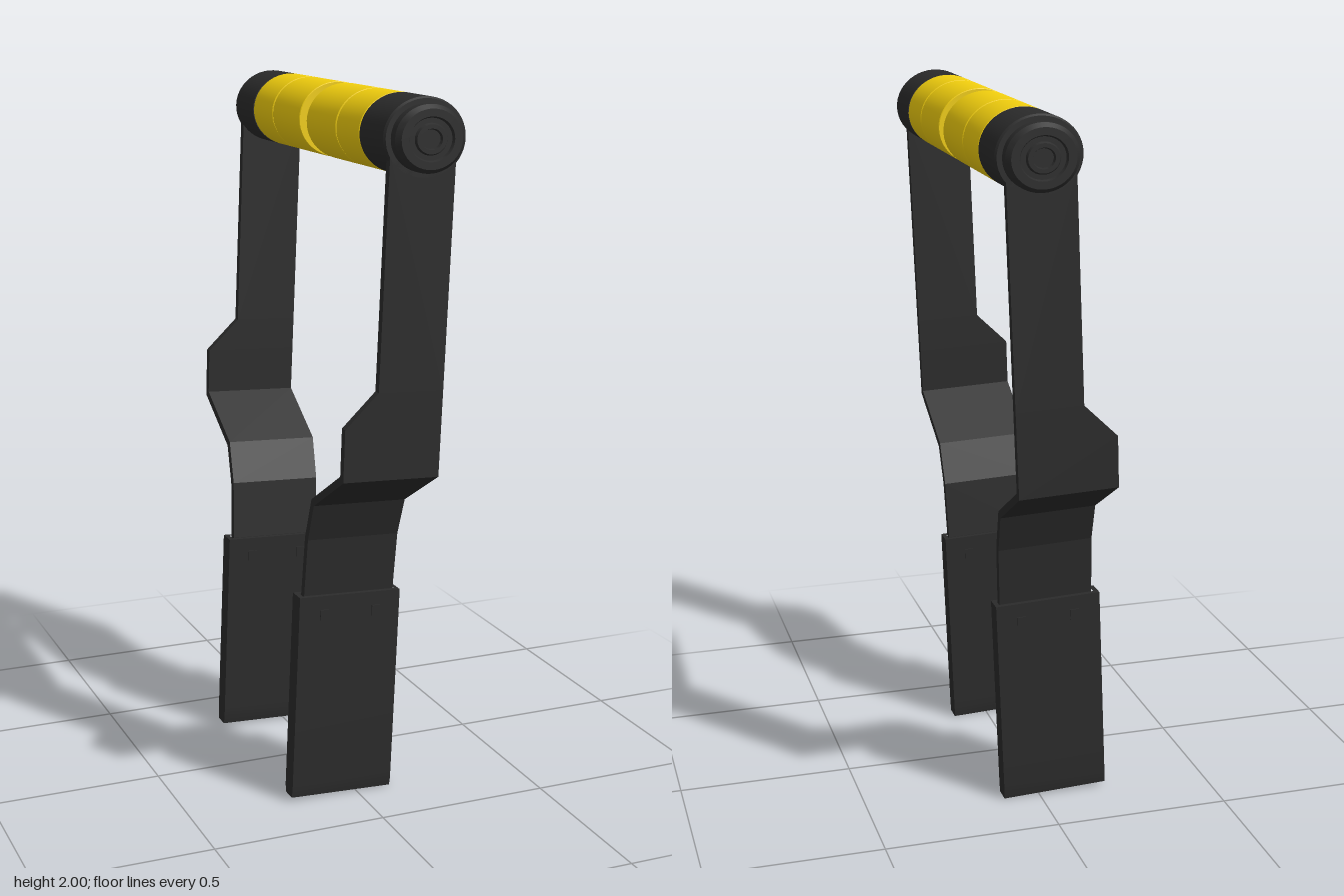
import * as THREE from 'three';
import { toCreasedNormals } from 'three/addons/utils/BufferGeometryUtils.js';

const dark = new THREE.MeshStandardMaterial({ color: 0x2b2b2b });
const yellow = new THREE.MeshStandardMaterial({ color: 0xf2cf0e });

const GRIP_Y = 1.891;

function addMesh(parent, name, geometry, material) {
  const mesh = new THREE.Mesh(geometry, material);
  mesh.name = name;
  parent.add(mesh);
  return mesh;
}

// Slightly oval turned part along z; profile is a list of [radius, z]
function turned(profile) {
  const points = profile.map(([r, z]) => new THREE.Vector2(r, z));
  const geometry = new THREE.LatheGeometry(points, 48);
  geometry.rotateX(Math.PI / 2).scale(1, 0.9, 1).translate(0, GRIP_Y, 0);
  return toCreasedNormals(geometry, 0.6);
}

// Bent flat strap; each row is [z, y, xMin, xMax], listed from top to bottom
function bentStrap(rows, thickness) {
  const centre = rows.map(([z, y]) => new THREE.Vector2(z, y));
  const sections = rows.map(([z, y, x0, x1], i) => {
    const a = centre[Math.max(i - 1, 0)], b = centre[i], c = centre[Math.min(i + 1, rows.length - 1)];
    const d1 = b.clone().sub(a).normalize(), d2 = c.clone().sub(b).normalize();
    if (i === 0) d1.copy(d2);
    if (i === rows.length - 1) d2.copy(d1);
    const along = d1.clone().add(d2).normalize();
    // Mitre the offset so that the thickness stays even through the bends
    const half = thickness / 2 / along.dot(d1);
    const nz = -along.y * half, ny = along.x * half;
    return [
      [x0, y + ny, z + nz], [x1, y + ny, z + nz],
      [x1, y - ny, z - nz], [x0, y - ny, z - nz],
    ];
  });
  const positions = [];
  const quad = (a, b, c, d) => positions.push(...a, ...b, ...c, ...a, ...c, ...d);
  for (let i = 0; i < sections.length - 1; i++) {
    const s = sections[i], t = sections[i + 1];
    for (let k = 0; k < 4; k++) {
      const n = (k + 1) % 4;
      quad(s[k], t[k], t[n], s[n]);
    }
  }
  const last = sections[sections.length - 1];
  quad(...sections[0]);
  quad(last[3], last[2], last[1], last[0]);
  const geometry = new THREE.BufferGeometry();
  geometry.setAttribute('position', new THREE.Float32BufferAttribute(positions, 3));
  geometry.computeVertexNormals();
  return geometry;
}

// Rectangle outline used for the pad section
function rectangle(Type, x0, x1, z0, z1) {
  const p = new Type();
  p.moveTo(x0, -z0);
  p.lineTo(x1, -z0);
  p.lineTo(x1, -z1);
  p.lineTo(x0, -z1);
  p.closePath();
  return p;
}

function createSide() {
  const side = new THREE.Group();

  // Grip sleeves with narrow gaps, joined by a thin core
  const sleeves = [[0.027, 0.231], [0.237, 0.388]];
  for (const [z0, z1] of sleeves) {
    addMesh(side, 'gripSleeve', turned([
      [0, z0], [0.115, z0], [0.117, z0 + 0.002], [0.117, z1 - 0.002], [0.115, z1], [0, z1],
    ]), yellow);
  }
  addMesh(side, 'gripCore', turned([[0, 0.2], [0.033, 0.2], [0.033, 0.41], [0, 0.41]]), dark);

  // End collar and its stepped cap
  addMesh(side, 'endCollar', turned([
    [0, 0.393], [0.117, 0.393], [0.117, 0.54], [0.112, 0.546], [0, 0.546],
  ]), dark);
  addMesh(side, 'endCap', turned([
    [0.098, 0.54], [0.098, 0.572], [0.086, 0.586], [0.064, 0.586], [0.06, 0.578],
    [0.046, 0.578], [0.042, 0.585], [0.03, 0.585], [0.027, 0.577], [0, 0.577],
  ]), dark);

  // Strap: straight upright, shoulder, inward bend, then down into the pad
  addMesh(side, 'strap', bentStrap([
    [0.535, 1.85, -0.097, 0.09],
    [0.535, 1.23, -0.097, 0.09],
    [0.535, 1.135, -0.188, 0.09],
    [0.535, 0.998, -0.187, 0.09],
    [0.338, 0.882, -0.184, 0.09],
    [0.3, 0.768, -0.182, 0.09],
    [0.286, 0.6, -0.181, 0.09],
    [0.286, 0.5, -0.181, 0.09],
  ], 0.022), dark);

  // Pad: slotted sleeve over a solid body with a chamfered foot
  const section = rectangle(THREE.Shape, -0.2, 0.105, 0.26, 0.314);
  section.holes.push(rectangle(THREE.Path, -0.186, 0.092, 0.273, 0.3));
  const sleeve = new THREE.ExtrudeGeometry(section, { depth: 0.1, bevelEnabled: false });
  sleeve.rotateX(-Math.PI / 2).translate(0, 0.5, 0);
  addMesh(side, 'padSleeve', sleeve, dark);

  const body = new THREE.BoxGeometry(0.305, 0.5, 0.054, 1, 20, 1);
  body.translate(-0.0475, 0.25, 0.287);
  const pos = body.attributes.position;
  for (let i = 0; i < pos.count; i++) {
    if (pos.getY(i) < 0.001) pos.setZ(i, 0.287 + (pos.getZ(i) - 0.287) * 0.85);
  }
  body.computeVertexNormals();
  addMesh(side, 'padBody', body, dark);

  // Small fasteners through the top of the pad
  for (const x of [-0.124, 0.033]) {
    const rivet = new THREE.BoxGeometry(0.026, 0.03, 0.062);
    addMesh(side, 'padFastener', rivet, dark).position.set(x, 0.545, 0.287);
  }
  return side;
}

export function createModel() {
  const model = new THREE.Group();
  model.name = 'handleWithStraps';

  const front = createSide();
  front.name = 'frontSide';
  const back = createSide();
  back.name = 'backSide';
  back.scale.z = -1;

  // The whole frame leans slightly toward +x
  const frame = new THREE.Group();
  frame.name = 'leaningFrame';
  frame.add(front, back);
  frame.rotation.z = -0.042;
  frame.position.y = 0.0045;
  model.add(frame);
  return model;
}
